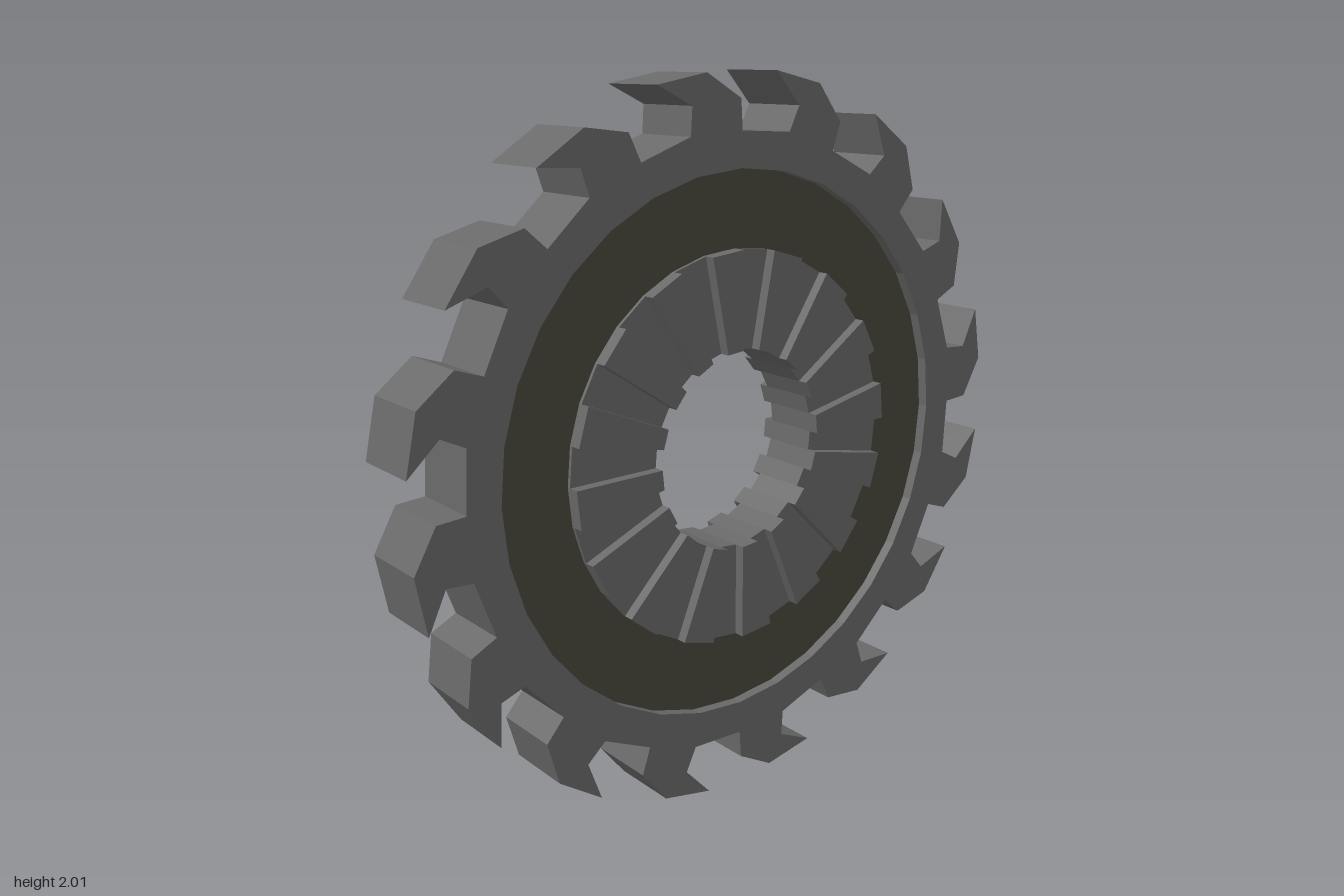
import * as THREE from 'three';

const SIDES = 32, TEETH = 16;
const HOLE = 0.28, HUB = 0.55, WEB = 0.76;

// Point on a circle, angle measured from straight up towards +z
const polar = (r, a) => new THREE.Vector2(r * Math.sin(a), r * Math.cos(a));

const circle = (r) =>
  Array.from({ length: SIDES }, (_, i) => polar(r, (i / SIDES) * Math.PI * 2));

// Extrude a (z, y) outline along x, from x0 to x1; a hole runs against its outline
function slab(name, outline, hole, x0, x1, material) {
  const shape = new THREE.Shape(outline);
  if (hole) shape.holes.push(new THREE.Path(hole.reverse()));
  const geometry = new THREE.ExtrudeGeometry(shape, { depth: x1 - x0, bevelEnabled: false });
  geometry.rotateY(-Math.PI / 2).translate(x1, 0, 0);
  const mesh = new THREE.Mesh(geometry, material);
  mesh.name = name;
  return mesh;
}

export function createModel() {
  const model = new THREE.Group();
  model.name = 'toothedWheel';
  const grey = new THREE.MeshStandardMaterial({ color: 0x696969, flatShading: true });
  const olive = new THREE.MeshStandardMaterial({ color: 0x4a483c, flatShading: true });

  const wheel = new THREE.Group();
  wheel.name = 'wheel';
  wheel.position.y = 1;
  model.add(wheel);

  // Rim with hooked cutting teeth
  const tooth = [[0, 0.855], [0.005, 0.936], [0.118, 1], [0.276, 0.972], [0.166, 0.92], [0.171, 0.845]];
  const rim = [];
  for (let i = 0; i < TEETH; i++) {
    const turn = (-i / TEETH) * Math.PI * 2;
    for (const [z, y] of tooth) {
      rim.push(new THREE.Vector2(z, y).rotateAround(new THREE.Vector2(), turn));
    }
  }
  wheel.add(slab('toothedRim', rim, circle(WEB), -0.1, 0.1, grey));

  // Recessed web between rim and hub
  wheel.add(slab('recessedWeb', circle(WEB), circle(HUB), -0.07, 0.07, olive));

  // Hub of wedges, stepped alternately to either side to form shallow radial ribs
  const hub = new THREE.Group();
  hub.name = 'ribbedHub';
  for (let i = 0; i < SIDES; i++) {
    const a = (i / SIDES) * Math.PI * 2, b = ((i + 1) / SIDES) * Math.PI * 2;
    const wedge = [polar(HOLE, a), polar(HUB, a), polar(HUB, b), polar(HOLE, b)];
    const [x0, x1] = i % 2 ? [-0.11, 0.08] : [-0.08, 0.11];
    hub.add(slab('hubRib', wedge, null, x0, x1, grey));
  }
  wheel.add(hub);

  return model;
}
